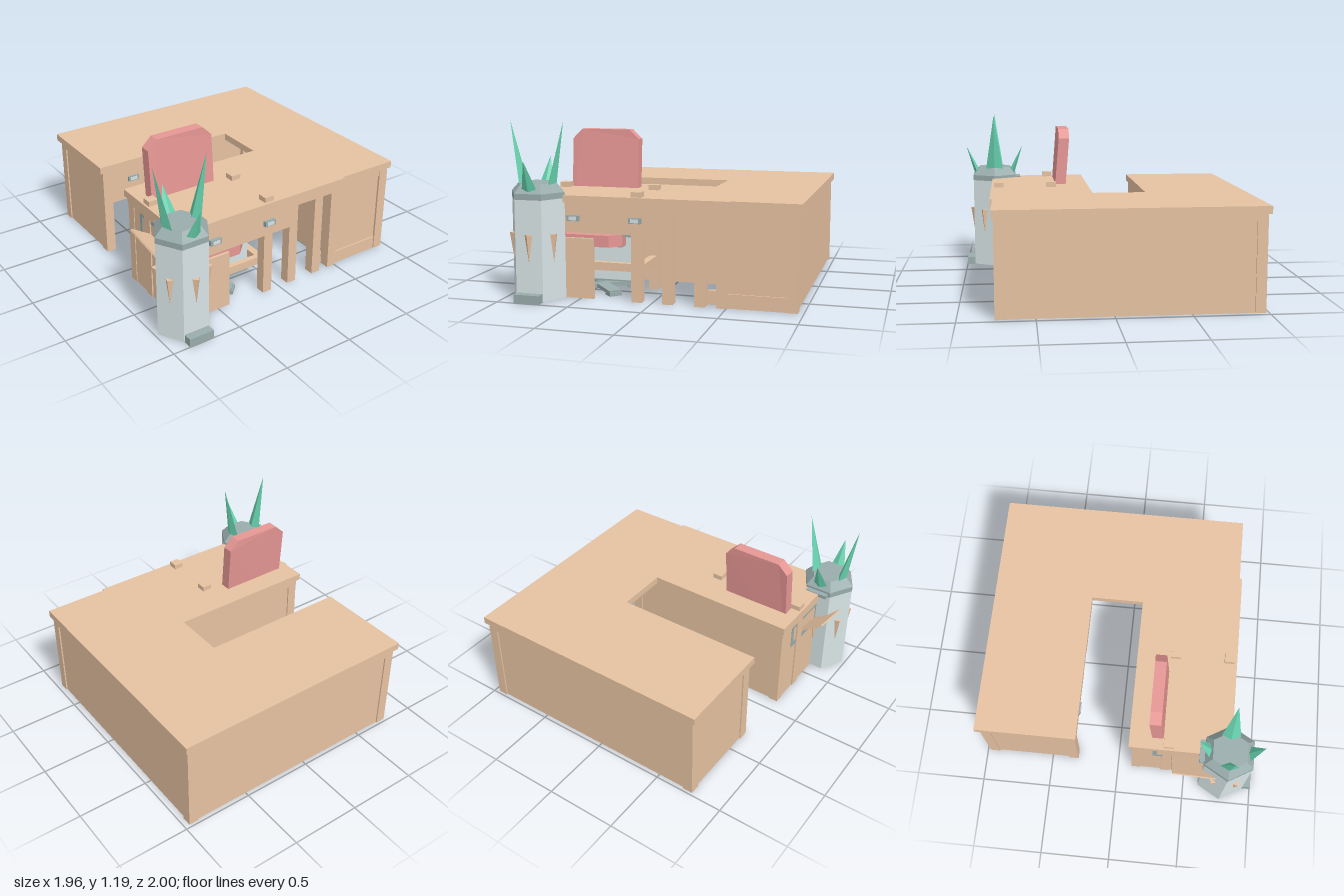
import * as THREE from 'three';

export function createModel() {
  const root = new THREE.Group();
  const mat = (name, color, double) => {
    const m = new THREE.MeshStandardMaterial({ color, flatShading: true });
    m.name = name;
    if (double) m.side = THREE.DoubleSide;
    return m;
  };
  const wood = mat('wood', 0xe6c2a1);
  const pink = mat('pink cushion', 0xe69794);
  const slate = mat('slate metal', 0x99acab);
  const pale = mat('pale metal', 0xd8e4e6);
  const green = mat('green spikes', 0x69d3b0, true);

  const add = (name, geo, m, parent = root) => {
    const mesh = new THREE.Mesh(geo, m);
    mesh.name = name;
    parent.add(mesh);
    return mesh;
  };
  // box from its minimum and maximum on each axis
  const box = (name, m, x0, x1, y0, y1, z0, z1, parent = root) => {
    const b = add(name, new THREE.BoxGeometry(x1 - x0, y1 - y0, z1 - z0), m, parent);
    b.position.set((x0 + x1) / 2, (y0 + y1) / 2, (z0 + z1) / 2);
    return b;
  };
  const post = (name, x, z, top, parent) =>
    box(name, wood, x - 0.035, x + 0.035, 0, top, z - 0.035, z + 0.035, parent);

  // worktops forming a C
  const desk = new THREE.Group();
  desk.name = 'desk';
  root.add(desk);
  box('backTop', wood, -0.795, 0.983, 0.65, 0.7, -1, -0.29, desk);
  box('sideTop', wood, 0.27, 0.983, 0.65, 0.7, -0.29, 0.772, desk);
  box('frontTop', wood, -0.81, 0.27, 0.65, 0.7, 0.08, 0.79, desk);
  box('frontTopEdge', wood, 0.27, 0.525, 0.65, 0.7, 0.772, 0.79, desk);

  // corner posts
  [[0.928, 0.725], [0.928, -0.945], [-0.735, -0.945], [-0.735, -0.34],
    [-0.755, 0.135], [0.47, 0.135], [-0.755, 0.735]].forEach(([x, z]) => post('cornerPost', x, z, 0.65, desk));

  // recessed panels with rails above
  const panelX = (x0, x1, z, dir) => {
    box('panel', wood, x0, x1, 0, 0.62, z - 0.01, z + 0.01, desk);
    const o = z + dir * 0.02;
    box('topRail', wood, x0, x1, 0.6, 0.65, Math.min(z - dir * 0.01, o), Math.max(z - dir * 0.01, o), desk);
  };
  const panelZ = (z0, z1, x, dir) => {
    box('panel', wood, x - 0.01, x + 0.01, 0, 0.62, z0, z1, desk);
    const o = x + dir * 0.02;
    box('topRail', wood, Math.min(x - dir * 0.01, o), Math.max(x - dir * 0.01, o), 0.6, 0.65, z0, z1, desk);
  };
  panelX(-0.77, 0.96, -0.96, -1);
  panelX(-0.79, 0.5, 0.12, -1);
  panelX(0.5, 0.96, 0.735, 1);
  box('bottomRail', wood, 0.5, 0.89, 0, 0.095, 0.73, 0.755, desk);
  panelZ(-0.97, 0.75, 0.943, 1);
  panelZ(-0.96, -0.31, -0.75, -1);
  panelZ(0.1, 0.75, -0.775, -1);
  panelZ(0.12, 0.73, 0.51, 1);

  // aprons and front legs
  box('frontApron', wood, -0.79, 0.14, 0.45, 0.65, 0.75, 0.77, desk);
  box('frontRail', wood, 0.14, 0.505, 0.6, 0.65, 0.71, 0.77, desk);
  [0.107, 0.325, 0.47].forEach(x => post('frontLeg', x, 0.735, 0.65, desk));
  box('backApron', wood, -0.77, -0.23, 0.45, 0.65, -0.33, -0.305, desk);
  box('backRail', wood, -0.23, -0.06, 0.6, 0.65, -0.33, -0.305, desk);
  box('backApron', wood, -0.06, 0.31, 0.45, 0.65, -0.33, -0.305, desk);
  box('lowRail', wood, 0.36, 0.44, 0, 0.095, 0.66, 0.69, desk);
  box('pedestalFront', wood, -0.79, -0.41, 0, 0.41, 0.735, 0.755, desk);

  // drawer handles
  [[-0.54, 0.785], [-0.108, 0.785], [-0.53, -0.3]].forEach(([x, z]) => {
    box('drawerHandle', slate, x - 0.042, x + 0.042, 0.53, 0.567, z - 0.015, z + 0.01);
    box('drawerGrip', pale, x - 0.026, x + 0.026, 0.536, 0.561, z, z + 0.013);
  });

  // inner frame whose leg ends stand proud of the worktop
  const frame = new THREE.Group();
  frame.name = 'innerFrame';
  root.add(frame);
  for (const x of [-0.76, -0.105]) {
    for (const z of [0.355, 0.735]) post('frameLeg', x, z, 0.735, frame);
    box('sideStretcher', wood, x - 0.025, x + 0.025, 0.185, 0.24, 0.355, 0.735, frame);
  }
  box('stretcher', wood, -0.76, -0.1, 0.185, 0.24, 0.65, 0.69, frame);
  box('backing', pale, -0.73, -0.14, 0.1, 0.45, 0.57, 0.58, frame);
  box('backingEdge', slate, -0.73, -0.14, 0.09, 0.1, 0.57, 0.585, frame);

  // plank leaning out through the end of the desk
  const plank = add('leaningPlank', new THREE.BoxGeometry(0.26, 0.012, 0.31), wood);
  plank.position.set(-0.83, 0.49, 0.54);
  plank.rotation.set(0.15, 0, -0.57);

  // chair
  const chair = new THREE.Group();
  chair.name = 'chair';
  root.add(chair);
  const cx = -0.485;
  const extrude = (pts, depth) => new THREE.ExtrudeGeometry(
    new THREE.Shape(pts.map(p => new THREE.Vector2(...p))), { depth, bevelEnabled: false });
  const backGeo = extrude([[-0.245, 0.42], [0.245, 0.42], [0.245, 1.04], [0.175, 1.107], [-0.175, 1.107], [-0.245, 1.04]], 0.078);
  const p = backGeo.attributes.position;
  // lean the backrest rearwards up to the shoulder
  for (let i = 0; i < p.count; i++) p.setZ(i, p.getZ(i) + 0.21 + Math.max(0, 1.04 - p.getY(i)) * 0.08);
  backGeo.computeVertexNormals();
  add('backrest', backGeo, pink, chair).position.x = cx;
  // seat with clipped front corners
  const seatGeo = extrude([[-0.245, 0.25], [0.245, 0.25], [0.245, 0.66], [0.175, 0.73], [-0.175, 0.73], [-0.245, 0.66]], 0.08);
  seatGeo.rotateX(Math.PI / 2);
  add('seat', seatGeo, pink, chair).position.set(cx, 0.43, 0);
  box('seatPan', slate, cx - 0.24, cx + 0.24, 0.34, 0.35, 0.2, 0.65, chair);
  add('column', new THREE.CylinderGeometry(0.03, 0.04, 0.3, 8), slate, chair).position.set(cx, 0.19, 0.45);
  for (let i = 0; i < 5; i++) {
    const leg = new THREE.Group();
    leg.name = 'starLeg';
    leg.position.set(cx, 0, 0.45);
    leg.rotation.y = Math.PI / 4 + i * Math.PI * 0.4;
    box('spoke', slate, -0.045, 0.045, 0.02, 0.045, 0, 0.26, leg).rotation.x = 0.06;
    box('foot', slate, -0.045, 0.045, 0, 0.025, 0.2, 0.27, leg);
    chair.add(leg);
  }
  for (const s of [-1, 1]) {
    const x0 = cx + s * 0.285, w = 0.018;
    box('armRest', slate, x0 - w, x0 + w, 0.57, 0.6, 0.25, 0.62, chair);
    box('armBase', slate, x0 - w, x0 + w, 0.41, 0.45, 0.25, 0.62, chair);
    for (const z of [0.25, 0.6]) box('armPost', slate, x0 - w, x0 + w, 0.41, 0.6, z, z + 0.03, chair);
    box('armBracket', slate, x0 - 0.04, x0 + 0.02, 0.41, 0.45, 0.55, 0.64, chair);
  }

  // hexagonal bin with points towards the sides
  const bin = new THREE.Group();
  bin.name = 'bin';
  bin.position.set(-0.79, 0, 0.775);
  root.add(bin);
  const hex = (name, m, r1, r0, y0, y1) => {
    const h = add(name, new THREE.CylinderGeometry(r1, r0, y1 - y0, 6), m, bin);
    h.rotation.y = Math.PI / 2;
    h.position.y = (y0 + y1) / 2;
  };
  hex('binBody', pale, 0.19, 0.19, 0.004, 0.68);
  hex('binBase', wood, 0.13, 0.13, 0, 0.004);
  hex('lidBand', slate, 0.192, 0.192, 0.68, 0.72);
  hex('lid', slate, 0.135, 0.192, 0.72, 0.78);
  box('pedal', slate, -0.09, 0.09, 0, 0.058, 0.15, 0.225, bin);
  box('rearHinge', slate, -0.08, 0.08, 0.68, 0.705, -0.203, -0.15, bin);

  // crown spikes: a pyramid drawn out to a leaning tip
  const spike = (turn, baseR, baseY, half, tipR, tipY) => {
    const g = new THREE.ConeGeometry(1, 1, 4).toNonIndexed();
    const q = g.attributes.position;
    for (let i = 0; i < q.count; i++) {
      const t = q.getY(i) + 0.5;
      q.setXYZ(i, q.getX(i) * half, baseY + t * (tipY - baseY),
        baseR + q.getZ(i) * half * 0.45 + t * (tipR - baseR));
    }
    g.computeVertexNormals();
    add('crownSpike', g, green, bin).rotation.y = turn;
  };
  for (const s of [0, Math.PI]) {
    spike(s, 0.135, 0.735, 0.055, 0.22, 0.94);
    spike(s + Math.PI / 2, 0.105, 0.77, 0.066, 0.19, 1.19);
  }

  // tapered wooden studs, one on each bin face
  for (let i = 0; i < 6; i++) {
    const g = new THREE.ConeGeometry(0.028, 0.19, 4);
    g.rotateX(Math.PI);
    const holder = new THREE.Group();
    holder.name = 'binStud';
    holder.rotation.y = i * Math.PI / 3;
    bin.add(holder);
    const stud = add('stud', g, wood, holder);
    stud.position.set(0, 0.355, 0.165);
  }
  return root;
}
